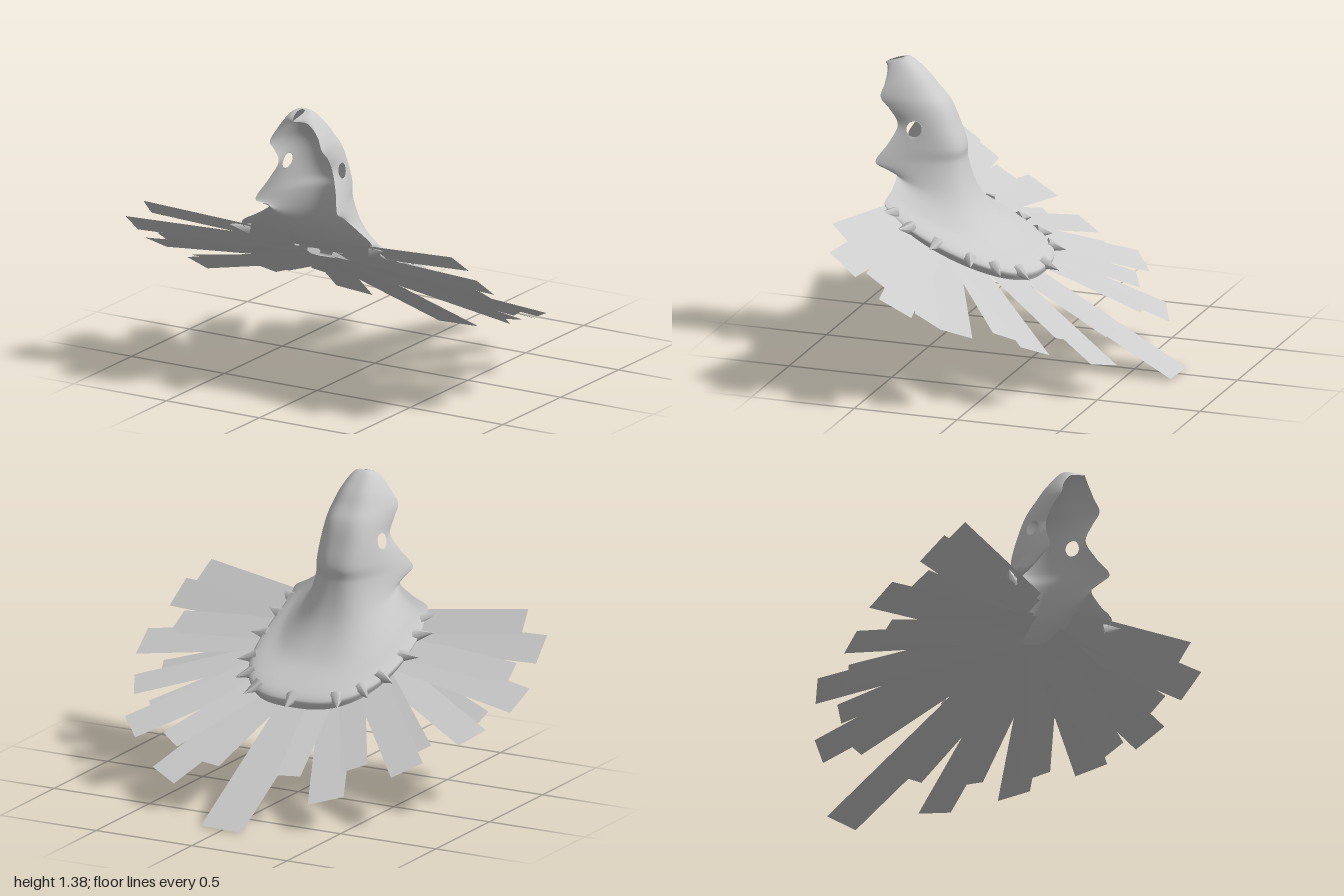
import * as THREE from 'three';

const V = (x, y, z) => new THREE.Vector3(x, y, z);
const material = new THREE.MeshStandardMaterial({ color: 0xcccccc, side: THREE.DoubleSide });

// Sections from the collar rim up to the beak:
// front edge x, y, z, half-width, back y, back z
const SECTIONS = [
  [.335, .74, .57, .41, .42, -.06],
  [.35, .78, .59, .43, .46, -.07],
  [.27, .83, .58, .31, .59, .14],
  [.20, .88, .59, .22, .74, .265],
  [.22, .93, .68, .18, .92, .325],
  [.18, 1.02, .63, .17, .98, .325],
  [.145, 1.10, .60, .16, 1.08, .36],
  [.145, 1.17, .64, .15, 1.18, .405],
  [.14, 1.22, .685, .14, 1.245, .46],
  [.11, 1.28, .675, .11, 1.31, .515],
  [.06, 1.335, .68, .06, 1.38, .60],
  [0, 1.345, .71, .025, 1.38, .62],
];
const RIM = SECTIONS[1];

// Point on a section: s runs from the front edge (0) round to the centre back (1)
function sectionPoint([fx, fy, fz, w, by, bz], s, side) {
  const c = Math.max(0, Math.cos(s * Math.PI / 2)), k = Math.sin(s * Math.PI / 2);
  const x = w * c ** .7 + (fx - w) * (1 - s) ** 3;
  return V(side * x, fy + (by - fy) * k ** .7, fz + (bz - fz) * k);
}

// Hood and collar: one lofted shell with a round eye hole in each side
function makeHood() {
  const NT = 80, NU = 88, R = .036, eyeY = 1.085, eyeZ = .52;
  const columns = [];
  for (let j = 0; j <= NT; j++) {
    const t = 1 - 2 * j / NT;
    columns.push(new THREE.CatmullRomCurve3(
      SECTIONS.map(sec => sectionPoint(sec, 1 - Math.abs(t), Math.sign(t)))));
  }
  const pos = [], inside = [], index = [];
  for (let i = 0; i <= NU; i++) {
    for (const column of columns) {
      const p = column.getPoint(i / NU);
      const dy = p.y - eyeY, dz = p.z - eyeZ, r = Math.hypot(dy, dz);
      const hit = r < R && Math.abs(p.x) > .08;
      inside.push(hit);
      if (hit && r > 1e-5) {
        p.y = eyeY + dy * R / r;
        p.z = eyeZ + dz * R / r;
      }
      pos.push(p.x, p.y, p.z);
    }
  }
  const tri = (a, b, c) => {
    if (!(inside[a] && inside[b] && inside[c])) index.push(a, b, c);
  };
  for (let i = 0; i < NU; i++) {
    for (let j = 0; j < NT; j++) {
      const a = i * (NT + 1) + j, b = a + 1, c = a + NT + 1, d = c + 1;
      tri(a, b, c);
      tri(b, d, c);
    }
  }
  const g = new THREE.BufferGeometry();
  g.setAttribute('position', new THREE.Float32BufferAttribute(pos, 3));
  g.setIndex(index);
  g.computeVertexNormals();
  const mesh = new THREE.Mesh(g, material);
  mesh.name = 'hood';
  return mesh;
}

// Spike on the collar rim, pointing away from the collar's middle
function makeSpike(s, side) {
  const base = sectionPoint(RIM, s, side);
  const dir = V(base.x, 0, base.z - .33).normalize();
  dir.y = .4 * dir.z;
  const g = new THREE.ConeGeometry(.035, .095, 5);
  g.translate(0, .02, 0);
  const m = new THREE.Mesh(g, material);
  m.quaternion.setFromUnitVectors(V(0, 1, 0), dir.normalize());
  m.position.copy(base);
  m.name = 'collarSpike';
  return m;
}

// Feathers of one side: the two tip corners and the middle of the root
const FEATHERS = [
  [[.15, .225, -.475], [.265, .23, -.455], [.04, .60, .36]],
  [[.35, .13, -.54], [.50, .17, -.47], [.03, .60, .37]],
  [[.43, .25, -.37], [.535, .29, -.31], [.06, .60, .38]],
  [[.67, .25, -.33], [.78, .31, -.23], [.08, .60, .40]],
  [[.64, .29, -.17], [.74, .35, -.08], [.08, .61, .42]],
  [[.85, .35, -.02], [.92, .40, .11], [.07, .61, .43]],
  [[.815, .36, .14], [.85, .44, .26], [.07, .61, .42]],
  [[.98, .46, .23], [1.0, .54, .38], [.08, .62, .43]],
  [[.88, .54, .37], [.87, .615, .49], [.10, .64, .43]],
  [[.96, .62, .51], [.945, .72, .64], [.13, .67, .48]],
  [[.855, .73, .56], [.83, .82, .67], [.14, .705, .50]],
];
const CENTRE_FEATHER = [[-.1, .003, -.715], [.11, .01, -.715], [0, .585, .34]];

// A flat strip with parallel sides
function makeFeather(points, side) {
  const [A, B, C] = points.map(([x, y, z]) => V(x * side, y, z));
  const along = C.clone().sub(A.clone().add(B).multiplyScalar(.5));
  const D = A.clone().add(along), E = B.clone().add(along);
  const g = new THREE.BufferGeometry().setFromPoints([A, B, E, D]);
  g.setIndex(side > 0 ? [0, 2, 1, 0, 3, 2] : [0, 1, 2, 0, 2, 3]);
  g.computeVertexNormals();
  const m = new THREE.Mesh(g, material);
  m.name = 'feather';
  return m;
}

export function createModel() {
  const model = new THREE.Group();
  model.name = 'featheredHeaddress';
  const spikes = new THREE.Group();
  spikes.name = 'collarSpikes';
  const feathers = new THREE.Group();
  feathers.name = 'featherFan';
  for (const side of [1, -1]) {
    for (const s of [.03, .115, .25, .43, .58, .76]) spikes.add(makeSpike(s, side));
    for (const f of FEATHERS) feathers.add(makeFeather(f, side));
  }
  spikes.add(makeSpike(1, 1));
  feathers.add(makeFeather(CENTRE_FEATHER, 1));
  model.add(makeHood(), spikes, feathers);
  return model;
}
